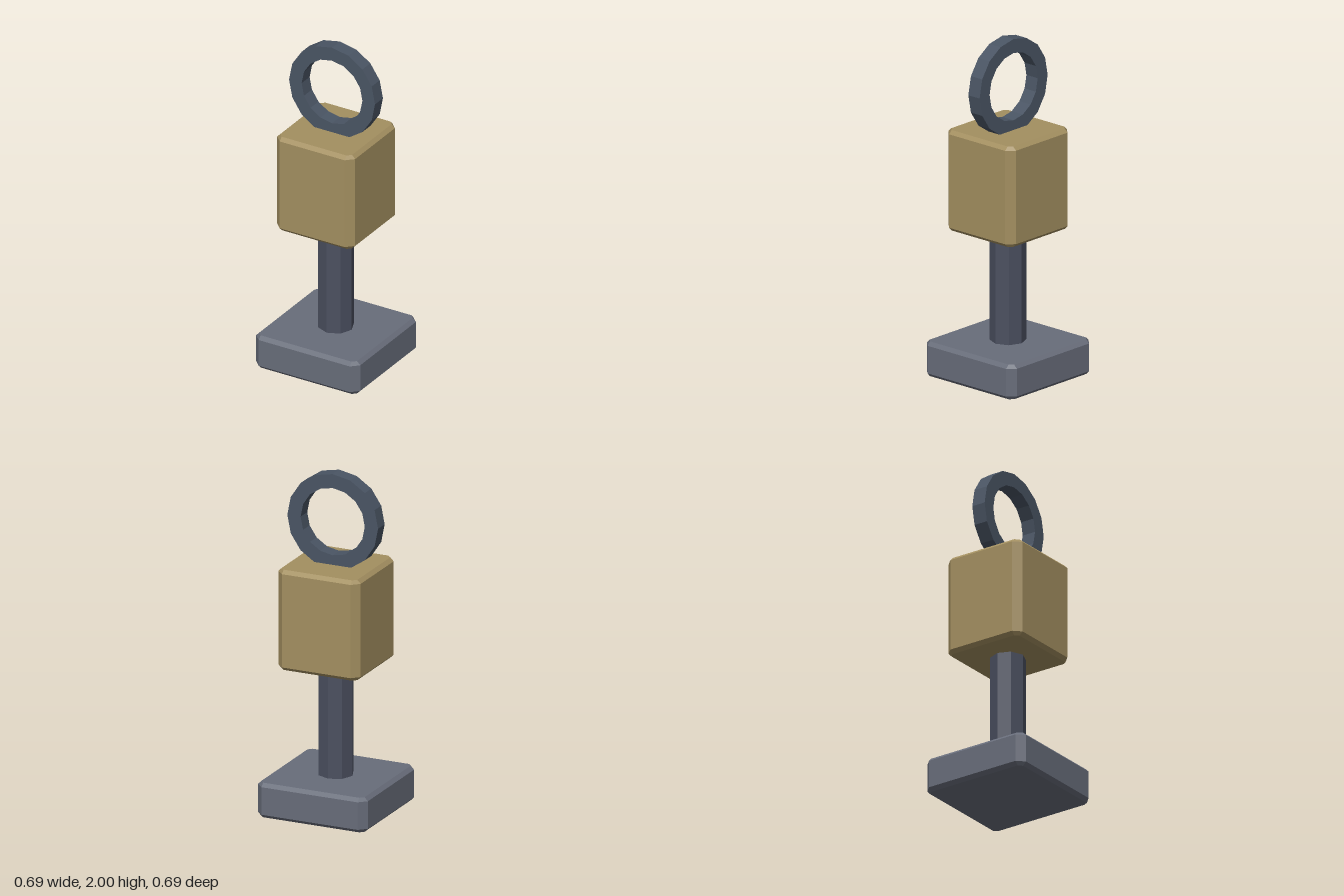
import * as THREE from 'three';

// Square block with cut vertical corners and bevelled top and bottom rims
function bevelledBlock(half, y0, y1, cut = 0.043, bevel = 0.021) {
  const flat = half - cut;
  const ring = (h, y) => [
    [flat, y, h], [h, y, flat], [h, y, -flat], [flat, y, -h],
    [-flat, y, -h], [-h, y, -flat], [-h, y, flat], [-flat, y, h],
  ];
  const rings = [
    ring(half - bevel, y0), ring(half, y0 + bevel),
    ring(half, y1 - bevel), ring(half - bevel, y1),
  ];
  const positions = [];
  const tri = (a, b, c) => positions.push(...a, ...b, ...c);
  for (let r = 0; r < 3; r++) {
    for (let i = 0; i < 8; i++) {
      const j = (i + 1) % 8;
      const a = rings[r][i], b = rings[r][j], c = rings[r + 1][j], d = rings[r + 1][i];
      tri(a, b, c);
      tri(a, c, d);
    }
  }
  // End caps
  for (let i = 1; i < 7; i++) {
    tri(rings[3][0], rings[3][i], rings[3][i + 1]);
    tri(rings[0][0], rings[0][i + 1], rings[0][i]);
  }
  const geometry = new THREE.BufferGeometry();
  geometry.setAttribute('position', new THREE.Float32BufferAttribute(positions, 3));
  geometry.computeVertexNormals();
  return geometry;
}

// Regular polygon outline with a corner pointing straight up
function polygon(radius, sides) {
  return Array.from({ length: sides }, (_, i) => {
    const a = Math.PI / 2 + (i / sides) * Math.PI * 2;
    return new THREE.Vector2(Math.cos(a) * radius, Math.sin(a) * radius);
  });
}

export function createModel() {
  const group = new THREE.Group();
  const add = (name, geometry, color, y = 0) => {
    const material = new THREE.MeshStandardMaterial({ color, flatShading: true });
    const mesh = new THREE.Mesh(geometry, material);
    mesh.name = name;
    mesh.position.y = y;
    group.add(mesh);
  };

  // Foot plate, eight-sided post and block
  add('base', bevelledBlock(0.343, 0, 0.206), 0x686d7a);
  add('post', new THREE.CylinderGeometry(0.103, 0.103, 0.74, 8), 0x4b5060, 0.535);
  add('block', bevelledBlock(0.257, 0.863, 1.46), 0xa38f60);

  // Flat faceted ring standing on the block
  const outline = new THREE.Shape(polygon(0.283, 16));
  outline.holes.push(new THREE.Path(polygon(0.2, 16)));
  const ring = new THREE.ExtrudeGeometry(outline, { depth: 0.086, bevelEnabled: false });
  ring.translate(0, 0, -0.043);
  add('ring', ring, 0x4a5564, 1.717);

  return group;
}
